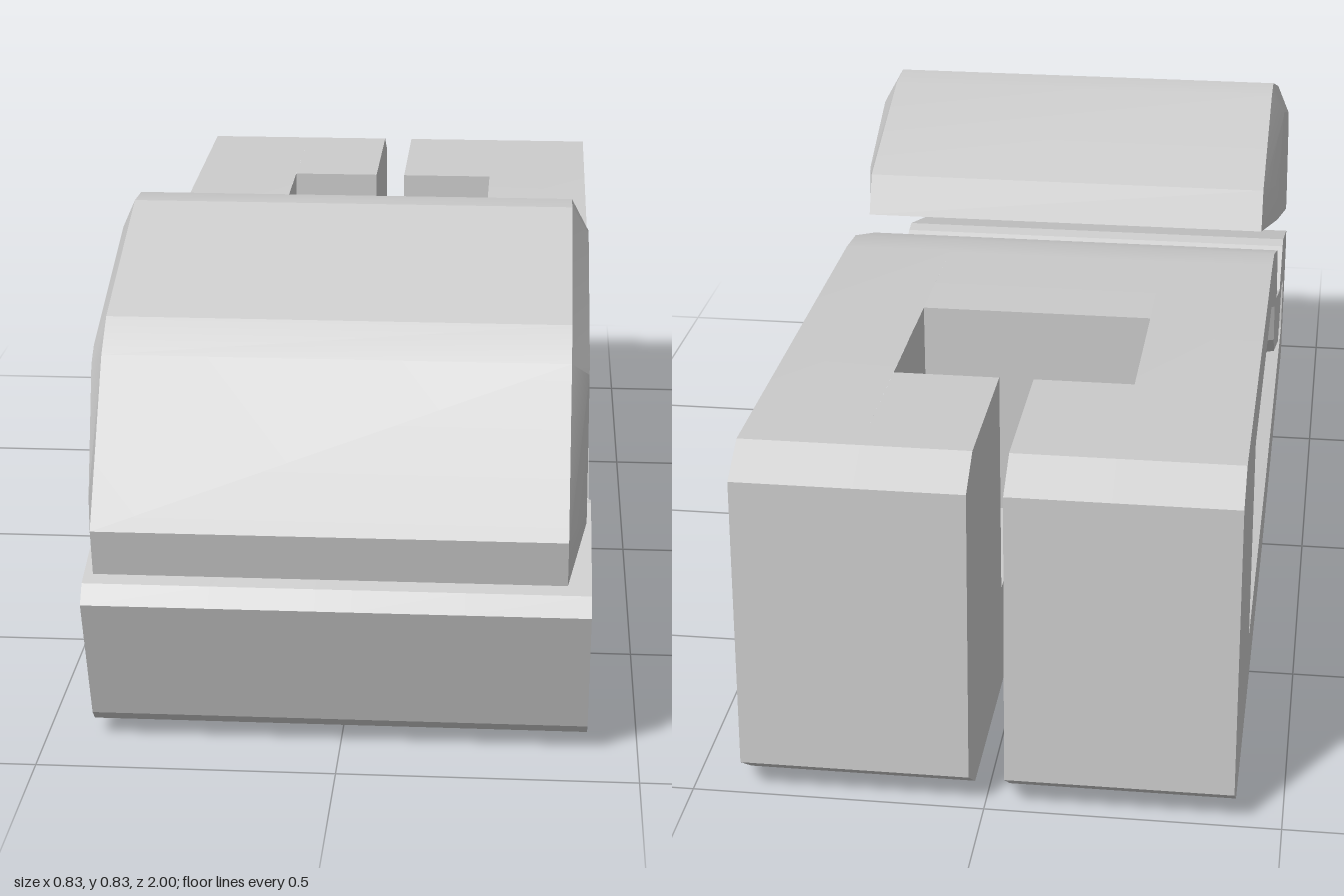
import * as THREE from 'three';
import { mergeGeometries, toCreasedNormals } from 'three/addons/utils/BufferGeometryUtils.js';

// All outlines are [z, y] loops, running up the front, back over the top and forward underneath.

// Walls between two outlines standing at xA and xB (xA < xB), facing outward
function loft(loopA, xA, loopB, xB) {
  const pos = [];
  loopA.forEach((p, i) => {
    const j = (i + 1) % loopA.length;
    const a0 = [xA, p[1], p[0]], b0 = [xA, loopA[j][1], loopA[j][0]];
    const a1 = [xB, loopB[i][1], loopB[i][0]], b1 = [xB, loopB[j][1], loopB[j][0]];
    pos.push(...a0, ...a1, ...b1, ...a0, ...b1, ...b0);
  });
  const g = new THREE.BufferGeometry();
  g.setAttribute('position', new THREE.Float32BufferAttribute(pos, 3));
  return g;
}

// Flat face at x, facing +x (dir 1) or -x (dir -1)
function cap(loop, x, dir, hole) {
  const toPoints = l => l.map(([z, y]) => new THREE.Vector2(-z, y));
  const shape = new THREE.Shape(toPoints(loop));
  if (hole) shape.holes.push(new THREE.Path(toPoints(hole)));
  const flat = new THREE.ShapeGeometry(shape).rotateY(Math.PI / 2).translate(x, 0, 0);
  if (dir < 0) flat.index.array.reverse();
  const g = flat.toNonIndexed();
  g.deleteAttribute('uv');
  g.deleteAttribute('normal');
  return g;
}

function part(name, geometries) {
  const geometry = toCreasedNormals(mergeGeometries(geometries), 0.3);
  const mesh = new THREE.Mesh(geometry, new THREE.MeshStandardMaterial({ color: 0xcccccc }));
  mesh.name = name;
  return mesh;
}

function createBody() {
  const left = 0.415, right = -0.42;
  const pocketX = 0.21, pocketFront = -0.29, pocketBack = -0.6, floor = 0.2;
  const slotL = 0.025, slotR = -0.035, slotEnd = -0.4;
  const recessDepth = 0.085;

  const frontTop = [
    [0.88, 0.03], [0.90, 0.05], [0.977, 0.28], [0.955, 0.31], [0.72, 0.38], [0.69, 0.375],
    [0.585, 0.313], [0.375, 0.383], [0.345, 0.46], [0.297, 0.52], [0.10, 0.59], [0.013, 0.60],
  ];
  const rear = [[-0.907, 0.623], [-0.98, 0.58], [-1, 0.06], [-0.93, 0.008]];
  const under = [[0.056, 0]];
  const profile = [...frontTop, ...rear, ...under];
  const pocketLip = [[pocketFront, 0.607], [pocketFront, floor]];
  const pocketRear = [[pocketBack, floor], [pocketBack, 0.615]];

  // Cross-section through the top pocket, and through the slot
  const notched = [...frontTop, ...pocketLip, ...pocketRear, ...rear, ...under];
  const slotted = [...frontTop, ...pocketLip, [slotEnd, floor], [slotEnd, 0.004], ...under];
  const slotWall = [...pocketRear, ...rear, [slotEnd, 0.004], [slotEnd, floor]];
  const pocketWall = [...pocketLip, ...pocketRear];

  // Side recess: rim on the outer face and slightly smaller floor
  const rim = [
    [0.806, 0.13], [0.838, 0.233], [0.72, 0.268], [0.624, 0.20], [0.59, 0.19], [0.31, 0.29],
    [0.276, 0.33], [0.25, 0.415], [0.045, 0.50], [-0.57, 0.50], [-0.58, 0.12], [0.09, 0.11],
  ].reverse();
  const bed = [
    [0.77, 0.145], [0.80, 0.235], [0.715, 0.256], [0.627, 0.188], [0.59, 0.178], [0.30, 0.276],
    [0.264, 0.32], [0.238, 0.405], [0.04, 0.485], [-0.533, 0.485], [-0.54, 0.14], [0.09, 0.125],
  ].reverse();

  const slice = (loop, x0, x1) => loft(loop, x0, loop, x1);
  return part('body', [
    slice(profile, right, -pocketX),
    slice(notched, -pocketX, slotR),
    slice(slotted, slotR, slotL),
    slice(notched, slotL, pocketX),
    slice(profile, pocketX, left),
    // pocket and slot walls
    cap(pocketWall, -pocketX, 1), cap(pocketWall, pocketX, -1),
    cap(slotWall, slotR, 1), cap(slotWall, slotL, -1),
    // outer sides with their recesses
    cap(profile, left, 1, rim), cap(profile, right, -1, rim),
    loft(bed, left - recessDepth, rim, left),
    loft(rim, right, bed, right + recessDepth),
    cap(bed, left - recessDepth, 1), cap(bed, right + recessDepth, -1),
  ]);
}

// Loose wedge above the nose, with bevelled ends
function createWedge() {
  const full = [
    [0.985, 0.34], [1, 0.42], [0.838, 0.667], [0.78, 0.715],
    [0.45, 0.827], [0.377, 0.823], [0.083, 0.727], [0.05, 0.655],
  ];
  const end = [
    [0.86, 0.40], [0.865, 0.425], [0.795, 0.635], [0.765, 0.66],
    [0.43, 0.773], [0.40, 0.772], [0.22, 0.69], [0.21, 0.62],
  ];
  return part('wedge', [
    loft(end, -0.42, full, -0.395),
    loft(full, -0.395, full, 0.375),
    loft(full, 0.375, end, 0.405),
    cap(end, 0.405, 1), cap(end, -0.42, -1),
  ]);
}

export function createModel() {
  const model = new THREE.Group();
  model.name = 'slottedClampBlock';
  model.add(createBody(), createWedge());
  return model;
}
